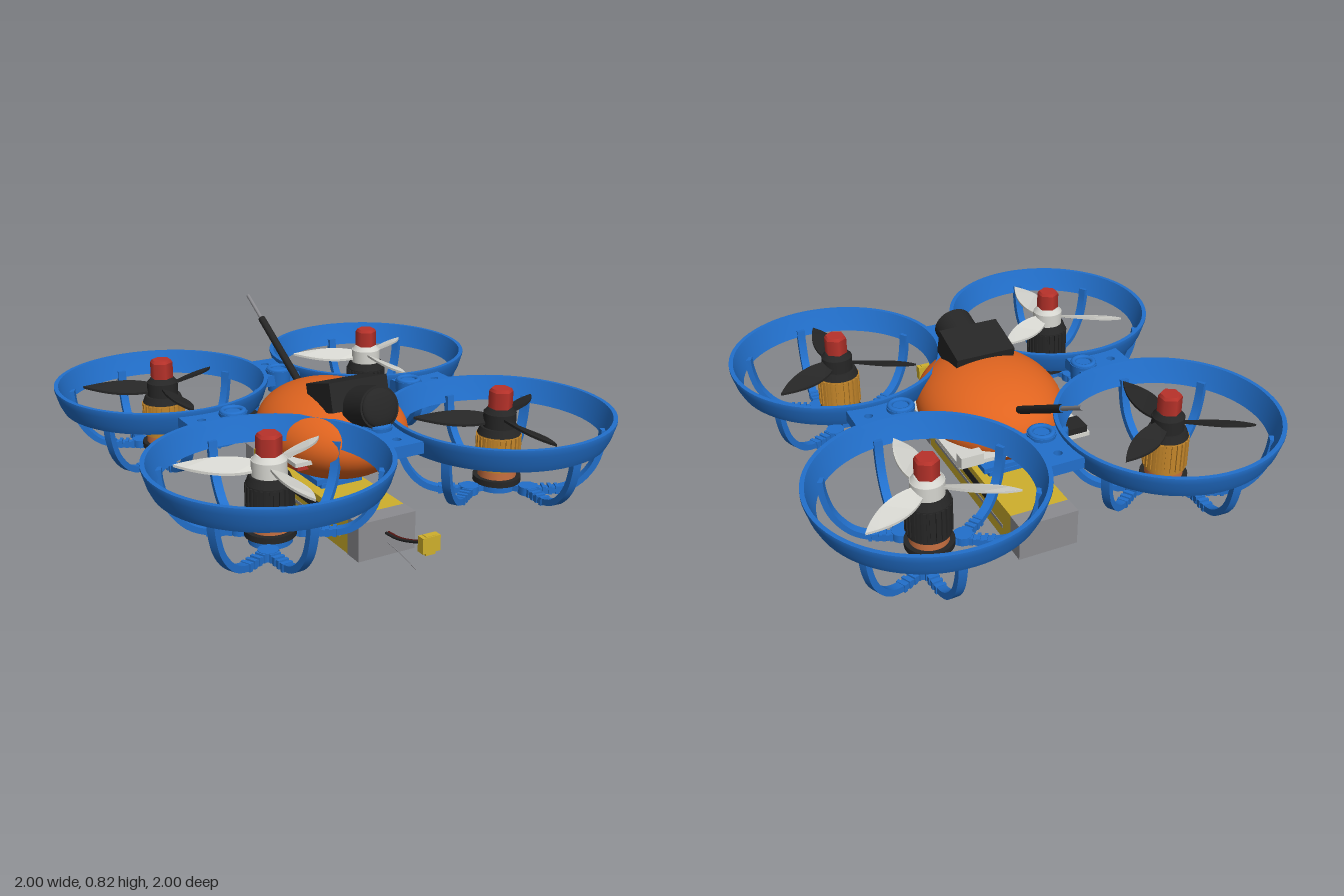
import * as THREE from 'three';
import { toCreasedNormals } from 'three/addons/utils/BufferGeometryUtils.js';

const mat = (name, color, side = THREE.FrontSide) => {
  const m = new THREE.MeshStandardMaterial({ color, side });
  m.name = name;
  return m;
};

export function createModel() {
  const blue = mat('frame blue', 0x2270cc, THREE.DoubleSide);
  const orange = mat('canopy orange', 0xe0641f);
  const black = mat('black', 0x262626);
  const white = mat('off white', 0xd6d6d0);
  const red = mat('nut red', 0xb8322a);
  const yellow = mat('battery yellow', 0xcfb02c);
  const gold = mat('motor gold', 0xc4862a);
  const copper = mat('copper', 0xc87040);
  const grey = mat('grey', 0x8c8c90);
  const wireRed = mat('wire dark red', 0x5a1814);

  const model = new THREE.Group();
  const add = (parent, name, geo, material, x = 0, y = 0, z = 0) => {
    const m = new THREE.Mesh(geo, material);
    m.name = name;
    m.position.set(x, y, z);
    parent.add(m);
    return m;
  };
  const group = (parent, name, x = 0, y = 0, z = 0, ry = 0) => {
    const g = new THREE.Group();
    g.name = name;
    g.position.set(x, y, z);
    g.rotation.y = ry;
    parent.add(g);
    return g;
  };
  const box = (w, h, d) => new THREE.BoxGeometry(w, h, d);
  // Cylinder between two heights
  const drum = (parent, name, r, y0, y1, material, n = 32, r2 = r) =>
    add(parent, name, new THREE.CylinderGeometry(r2, r, y1 - y0, n), material, 0, (y0 + y1) / 2, 0);
  // Rod or cable through points
  const cable = (name, pts, r, material) => {
    const curve = new THREE.CatmullRomCurve3(pts.map(p => new THREE.Vector3(...p)));
    return add(model, name, new THREE.TubeGeometry(curve, 16, r, 8), material);
  };

  // Shared duct ring, flared at the top
  const ringGeo = toCreasedNormals(new THREE.LatheGeometry(
    [[0.416, 0.44], [0.437, 0.44], [0.452, 0.47], [0.464, 0.51], [0.47, 0.53], [0.47, 0.54],
      [0.452, 0.54], [0.445, 0.52], [0.43, 0.475], [0.416, 0.44]].map(p => new THREE.Vector2(...p)), 72), 0.5);

  // Shared rib: flat foot curving up to the ring
  const ribPath = new THREE.CatmullRomCurve3(
    [[0, 0.213], [0.11, 0.21], [0.2, 0.235], [0.27, 0.31], [0.3, 0.4], [0.307, 0.47]]
      .map(([x, y]) => new THREE.Vector3(x, y, 0)));
  const ribShape = new THREE.Shape([[-0.018, -0.013], [0.018, -0.013], [0.018, 0.013], [-0.018, 0.013]]
    .map(p => new THREE.Vector2(...p)));
  const ribGeo = toCreasedNormals(
    new THREE.ExtrudeGeometry(ribShape, { steps: 20, extrudePath: ribPath, bevelEnabled: false }), 0.6);

  // Shared propeller blade, twisted towards its root
  const bladeShape = new THREE.Shape();
  bladeShape.moveTo(0.04, -0.02);
  bladeShape.bezierCurveTo(0.13, -0.05, 0.24, -0.06, 0.355, 0);
  bladeShape.bezierCurveTo(0.25, 0.055, 0.14, 0.055, 0.04, 0.02);
  const bladeGeo = new THREE.ExtrudeGeometry(bladeShape, { depth: 0.01, bevelEnabled: false, curveSegments: 14 });
  bladeGeo.rotateX(-Math.PI / 2);
  const bp = bladeGeo.attributes.position;
  for (let i = 0; i < bp.count; i++) {
    bp.setY(i, bp.getY(i) + bp.getZ(i) * 0.55 * (1 - bp.getX(i) / 0.5));
  }
  bladeGeo.computeVertexNormals();

  // One duct with its motor and propeller; arms start towards the centre line
  const rotor = (sx, sz) => {
    const g = group(model, 'rotor', 0.53 * sx, 0, 0.53 * sz);
    const goldMotor = sx === sz;
    const bell = goldMotor ? gold : black;
    const propMat = goldMotor ? black : white;
    add(g, 'ductRing', ringGeo, blue);

    // Three forked arms
    for (let i = 0; i < 3; i++) {
      const arm = group(g, 'forkedArm', 0, 0, 0, (sx > 0 ? Math.PI : 0) + i * Math.PI * 2 / 3);
      add(arm, 'armRoot', box(0.15, 0.025, 0.045), blue, 0.075, 0.215, 0);
      add(arm, 'armNode', new THREE.CylinderGeometry(0.04, 0.04, 0.035, 12), blue, 0.14, 0.215, 0);
      for (const s of [-1, 1]) {
        const rib = group(arm, 'rib', 0.13, 0, 0, s * 0.587);
        add(rib, 'ribStrut', ribGeo, blue);
        for (let k = 0; k < 4; k++) {
          add(rib, 'ribTooth', box(0.014, 0.034, 0.044), blue, 0.045 + k * 0.028, 0.213, 0);
        }
      }
    }

    // Motor
    drum(g, 'motorMount', 0.085, 0.2, 0.232, blue);
    drum(g, 'motorBase', 0.1, 0.23, 0.255, black);
    drum(g, 'motorWinding', 0.08, 0.25, 0.3, copper);
    drum(g, 'motorBell', 0.088, 0.29, 0.44, bell);
    for (let i = 0; i < 24; i++) {
      const a = i * Math.PI / 12;
      add(g, 'bellFin', box(0.012, 0.13, 0.012), bell, 0.088 * Math.cos(a), 0.37, 0.088 * Math.sin(a)).rotation.y = -a;
    }
    drum(g, 'motorCap', 0.09, 0.44, 0.47, black, 32, 0.078);

    // Propeller
    drum(g, 'propHub', 0.068, 0.465, 0.53, propMat);
    drum(g, 'propHubTop', 0.066, 0.53, 0.55, propMat, 32, 0.05);
    for (let i = 0; i < 3; i++) {
      const blade = add(g, 'propBlade', bladeGeo, propMat, 0, 0.495, 0);
      blade.rotation.y = -Math.PI / 2 + i * Math.PI * 2 / 3;
    }
    drum(g, 'propNut', 0.05, 0.54, 0.62, red, 6);
    drum(g, 'propNutTop', 0.05, 0.62, 0.632, red, 6, 0.042);
  };
  for (const sx of [-1, 1]) for (const sz of [-1, 1]) rotor(sx, sz);

  // Gussets joining neighbouring ducts, each with a mount boss and a bolt hole
  const gussetShape = new THREE.Shape();
  gussetShape.moveTo(0.39, -0.09);
  gussetShape.quadraticCurveTo(0.52, -0.05, 0.64, -0.08);
  gussetShape.lineTo(0.64, 0.08);
  gussetShape.quadraticCurveTo(0.52, 0.05, 0.39, 0.09);
  const hole = new THREE.Path();
  hole.absarc(0.57, 0, 0.018, 0, Math.PI * 2, true);
  gussetShape.holes.push(hole);
  const gussetGeo = new THREE.ExtrudeGeometry(gussetShape, { depth: 0.05, bevelEnabled: false });
  gussetGeo.rotateX(-Math.PI / 2);
  for (let i = 0; i < 4; i++) {
    const g = group(model, 'gusset', 0, 0, 0, i * Math.PI / 2);
    add(g, 'gussetPlate', gussetGeo, blue, 0, 0.47, 0);
    add(g, 'mountBoss', new THREE.CylinderGeometry(0.06, 0.05, 0.1, 24), blue, 0.43, 0.485, 0);
    const eye = add(g, 'mountEye', new THREE.TorusGeometry(0.045, 0.012, 8, 24), blue, 0.43, 0.535, 0);
    eye.rotation.x = Math.PI / 2;
  }
  add(model, 'bellyPlate', box(0.24, 0.025, 0.3), blue, 0, 0.203, 0);
  for (const s of [-1, 1]) add(model, 'bellyFoot', box(0.2, 0.02, 0.05), blue, 0, 0.186, s * 0.13);

  // Canopy and circuit board
  const canopy = add(model, 'canopy', new THREE.SphereGeometry(1, 48, 32), orange, 0, 0.413, 0.06);
  canopy.scale.set(0.31, 0.197, 0.37);
  add(model, 'circuitBoard', box(0.6, 0.018, 0.6), white, 0, 0.372, 0);
  add(model, 'boardPort', box(0.1, 0.05, 0.05), white, 0.25, 0.4, -0.295);
  add(model, 'boardChip', box(0.1, 0.03, 0.09), black, -0.24, 0.395, -0.25);
  for (const s of [-1, 1]) {
    add(model, 'statusLight', box(0.05, 0.03, 0.04), red, s * 0.25, 0.348, 0.25);
    add(model, 'statusLight', box(0.05, 0.03, 0.04), red, s * 0.25, 0.348, -0.2);
  }

  // Camera, tilted upwards
  const camera = group(model, 'camera', 0, 0.59, 0.2);
  camera.rotation.x = -0.27;
  add(camera, 'cameraBox', box(0.27, 0.12, 0.2), black, 0, 0.01, 0);
  const lens = add(camera, 'cameraLens', new THREE.CylinderGeometry(0.088, 0.088, 0.15, 32), black, 0, -0.045, 0.165);
  lens.rotation.x = Math.PI / 2;
  const glass = add(camera, 'lensGlass', new THREE.SphereGeometry(0.08, 24, 8, 0, Math.PI * 2, 0, Math.PI / 2), black, 0, -0.045, 0.24);
  glass.rotation.x = Math.PI / 2;
  glass.scale.y = 0.3;

  // Antenna
  cable('antennaSleeve', [[0, 0.51, -0.2], [0, 0.735, -0.595]], 0.017, black);
  cable('antennaTip', [[0, 0.732, -0.59], [0, 0.815, -0.735]], 0.009, grey);

  // Battery
  add(model, 'batteryBody', box(0.266, 0.164, 0.87), yellow, 0, 0.083, 0.002);
  for (const s of [-1, 1]) {
    add(model, 'batteryEnd', box(0.27, 0.166, 0.085), grey, 0, 0.083, s * 0.475);
    add(model, 'batteryLabel', box(0.006, 0.04, 0.51), black, s * 0.133, 0.115, 0.005);
    add(model, 'batteryStripe', box(0.006, 0.016, 0.73), grey, s * 0.133, 0.062, 0.005);
  }

  // Power lead with its plug, and the thin balance lead
  for (const s of [-1, 1]) {
    cable('powerLead', [[s * 0.006, 0.1, 0.51], [s * 0.006, 0.11, 0.6], [s * 0.006, 0.14, 0.7], [s * 0.006, 0.18, 0.8]],
      0.006, s < 0 ? black : wireRed);
  }
  cable('balanceLead', [[0, 0.06, 0.51], [0, 0.05, 0.62], [0, 0.03, 0.73]], 0.002, grey);
  add(model, 'plug', box(0.08, 0.065, 0.035), yellow, 0, 0.18, 0.81);
  add(model, 'plugTip', box(0.045, 0.08, 0.025), yellow, 0, 0.175, 0.81);

  return model;
}
